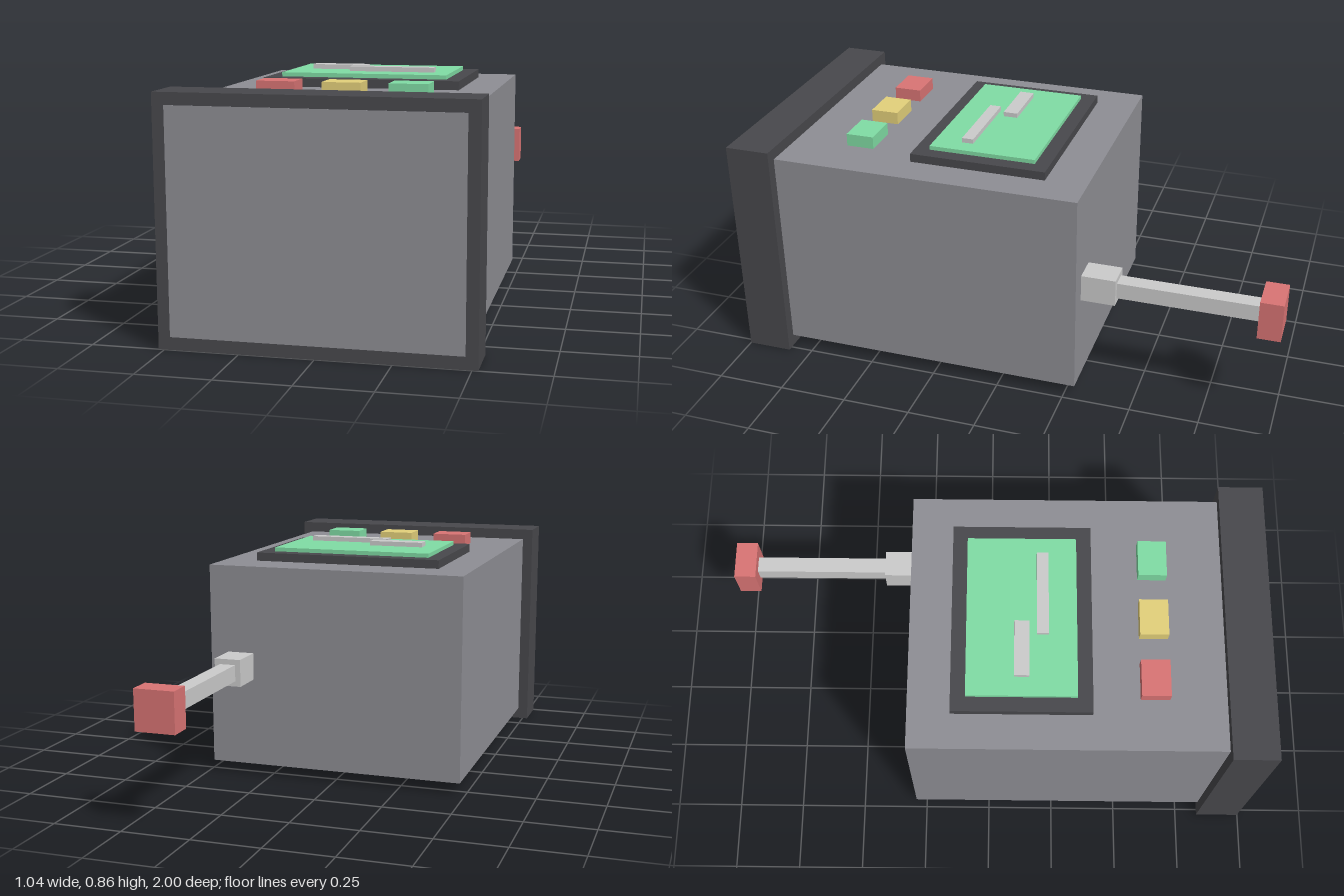
import * as THREE from 'three';

const COLORS = {
  body: 0x8e8e94, dark: 0x48484c, grey: 0xcccccc,
  red: 0xd97474, yellow: 0xe3d07a, green: 0x80dca4,
};

export function createModel() {
  const model = new THREE.Group();
  model.name = 'handheldScanner';

  const materials = {};
  for (const [key, color] of Object.entries(COLORS)) {
    materials[key] = new THREE.MeshStandardMaterial({ color, flatShading: true });
  }

  // Box given by its extents along each axis
  function box(name, color, [x0, x1], [y0, y1], [z0, z1], parent = model) {
    const mesh = new THREE.Mesh(new THREE.BoxGeometry(x1 - x0, y1 - y0, z1 - z0), materials[color]);
    mesh.position.set((x0 + x1) / 2, (y0 + y1) / 2, (z0 + z1) / 2);
    mesh.name = name;
    parent.add(mesh);
  }

  function group(name) {
    const g = new THREE.Group();
    g.name = name;
    model.add(g);
    return g;
  }

  // Housing; its front panel sits a hair proud of the front frame
  box('body', 'body', [-0.48, 0.48], [0.043, 0.794], [-0.29, 1]);
  box('frontFrame', 'dark', [-0.52, 0.52], [0, 0.835], [0.835, 0.999]);

  // Display with two readout bars
  const display = group('display');
  box('bezel', 'dark', [-0.353, 0.353], [0.78, 0.825], [-0.138, 0.362], display);
  box('screen', 'green', [-0.3, 0.3], [0.81, 0.84], [-0.085, 0.308], display);
  box('readoutShort', 'grey', [-0.23, -0.025], [0.835, 0.857], [0.085, 0.138], display);
  box('readoutLong', 'grey', [-0.072, 0.238], [0.835, 0.857], [0.165, 0.207], display);

  // Row of buttons
  const buttons = group('buttons');
  ['red', 'yellow', 'green'].forEach((color, i) => {
    const x = (i - 1) * 0.228;
    box(color + 'Button', color, [x - 0.067, x + 0.067], [0.78, 0.84], [0.53, 0.633], buttons);
  });

  // Rear antenna
  const antenna = group('antenna');
  box('antennaBase', 'grey', [0.312, 0.412], [0.37, 0.47], [-0.415, -0.28], antenna);
  box('antennaRod', 'grey', [0.332, 0.392], [0.39, 0.45], [-0.93, -0.41], antenna);
  box('antennaTip', 'red', [0.29, 0.434], [0.348, 0.492], [-1, -0.918], antenna);

  return model;
}
